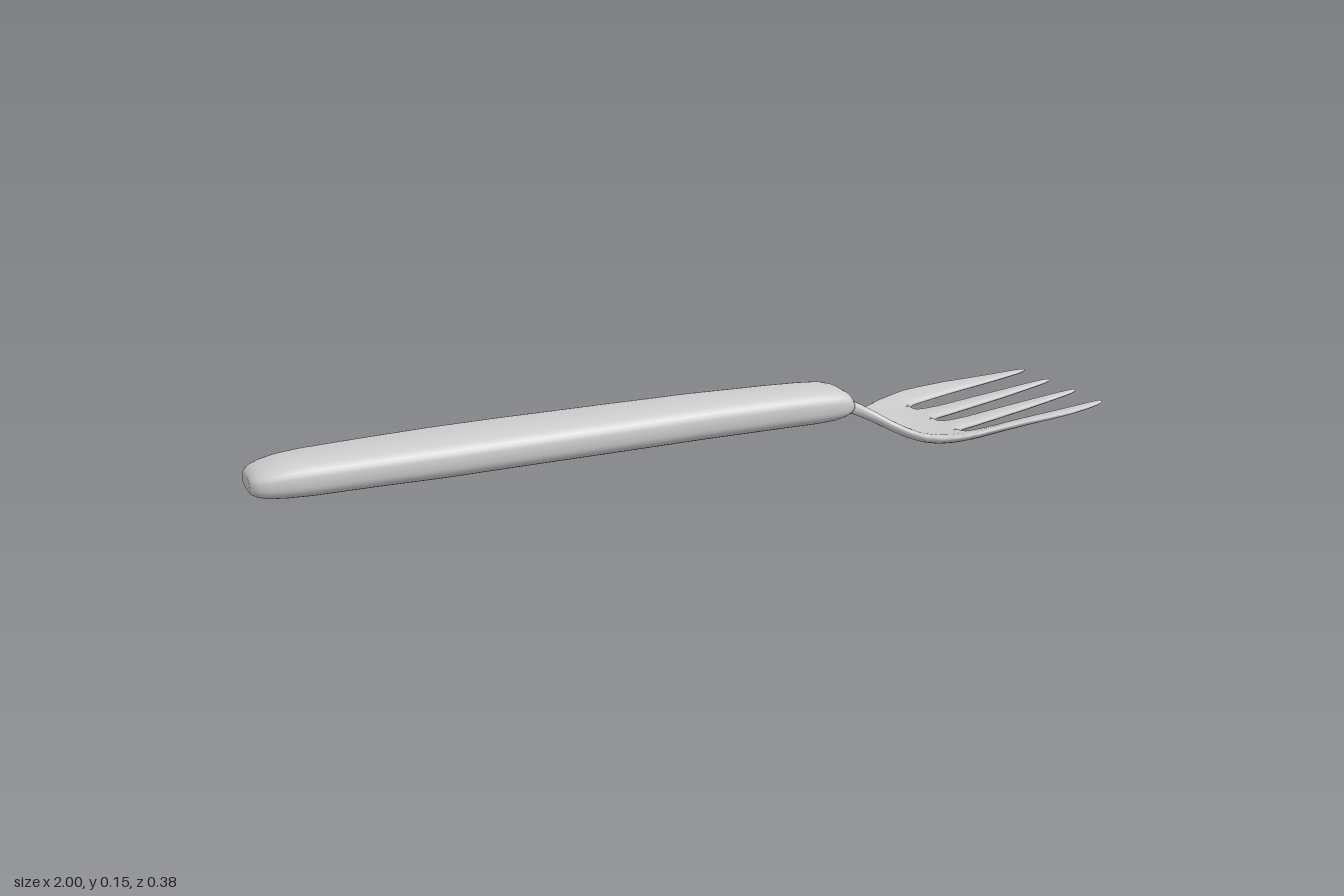
import * as THREE from 'three';
import { mergeVertices } from 'three/addons/utils/BufferGeometryUtils.js';

const { smoothstep } = THREE.MathUtils;
const material = new THREE.MeshStandardMaterial({ color: 0xcccccc });

// Skins a list of closed loops ordered along +x; skip(i, j) leaves a quad open
function loft(loops, pos, idx, skip = () => false) {
  const base = pos.length / 3, n = loops[0].length, rows = loops.length;
  loops.forEach((l) => l.forEach((p) => pos.push(...p)));
  for (let i = 0; i < rows - 1; i++) {
    for (let j = 0; j < n; j++) {
      if (skip(i, j)) continue;
      const a = base + i * n + j, b = base + i * n + (j + 1) % n;
      idx.push(a, a + n, b + n, a, b + n, b);
    }
  }
  // end caps
  [0, rows - 1].forEach((r) => {
    const c = pos.length / 3, o = base + r * n;
    const mid = [0, 1, 2].map((k) => loops[r].reduce((s, p) => s + p[k], 0) / n);
    pos.push(...mid);
    for (let j = 0; j < n; j++) {
      const a = o + j, b = o + (j + 1) % n;
      if (r === 0) idx.push(c, a, b);
      else idx.push(c, b, a);
    }
  });
}

function makeMesh(name, pos, idx) {
  let g = new THREE.BufferGeometry();
  g.setAttribute('position', new THREE.Float32BufferAttribute(pos, 3));
  g.setIndex(idx);
  g = mergeVertices(g, 1e-5);
  g.computeVertexNormals();
  const mesh = new THREE.Mesh(g, material);
  mesh.name = name;
  return mesh;
}

// Rounded bar with flattened top and bottom
function makeHandle() {
  // x, centre y, half height, half width
  const rows = [
    [-1, 0.102, 0.014, 0.036], [-0.996, 0.102, 0.021, 0.047], [-0.985, 0.103, 0.028, 0.057],
    [-0.965, 0.104, 0.034, 0.065], [-0.93, 0.106, 0.039, 0.071], [-0.88, 0.107, 0.042, 0.075],
    [-0.75, 0.109, 0.043, 0.082], [-0.6, 0.11, 0.045, 0.087], [-0.45, 0.111, 0.045, 0.087],
    [-0.2, 0.111, 0.045, 0.084], [0, 0.111, 0.045, 0.08], [0.2, 0.108, 0.044, 0.075],
    [0.28, 0.106, 0.043, 0.073], [0.33, 0.105, 0.04, 0.071], [0.355, 0.104, 0.034, 0.068],
    [0.37, 0.103, 0.026, 0.062], [0.378, 0.1, 0.016, 0.054],
  ];
  const sp = (v) => Math.sign(v) * Math.abs(v) ** (2 / 2.7);
  const loops = rows.map(([x, y, h, w]) => Array.from({ length: 40 }, (_, j) => {
    const t = j / 40 * Math.PI * 2;
    return [x, y + h * sp(Math.sin(t)), w * sp(Math.cos(t))];
  }));
  const pos = [], idx = [];
  loft(loops, pos, idx);
  return makeMesh('handle', pos, idx);
}

// Dished plate that splits into four tapering tines
function makeHead() {
  // solid part: x, centre y, half thickness, half width
  const plate = [
    [0.35, 0.1, 0.015, 0.053], [0.375, 0.096, 0.016, 0.054], [0.4, 0.084, 0.015, 0.057],
    [0.43, 0.068, 0.014, 0.066], [0.46, 0.05, 0.013, 0.084], [0.49, 0.034, 0.012, 0.11],
    [0.52, 0.022, 0.011, 0.138], [0.55, 0.0155, 0.011, 0.159], [0.58, 0.0135, 0.0105, 0.173],
    [0.605, 0.0135, 0.01, 0.18], [0.625, 0.015, 0.01, 0.184],
  ].map(([x, y, t, w]) => [x, y, t, 0, w * 0.58, w * 0.58, w]);
  // split part: x, centre y, half thickness, inner tine edges, outer tine edges
  const tines = [
    [0.629, 0.015, 0.01, 0.009, 0.098, 0.116, 0.185],
    [0.638, 0.016, 0.0098, 0.016, 0.091, 0.123, 0.186],
    [0.658, 0.018, 0.0095, 0.022, 0.085, 0.129, 0.188],
    [0.7, 0.022, 0.009, 0.026, 0.081, 0.133, 0.188],
    [0.77, 0.031, 0.0085, 0.029, 0.077, 0.137, 0.187],
    [0.84, 0.04, 0.0075, 0.032, 0.073, 0.14, 0.184],
    [0.9, 0.048, 0.0065, 0.036, 0.069, 0.143, 0.18],
    [0.95, 0.055, 0.0055, 0.04, 0.065, 0.146, 0.174],
    [0.98, 0.059, 0.0045, 0.043, 0.062, 0.148, 0.169],
    [0.994, 0.061, 0.0035, 0.045, 0.059, 0.15, 0.164],
    [1, 0.062, 0.002, 0.048, 0.056, 0.153, 0.159],
  ];
  const rows = [...plate, ...tines];
  const N = 9, pos = [], idx = [];

  [[3, 4, 1], [5, 6, 1], [3, 4, -1], [5, 6, -1]].forEach(([k0, k1, side]) => {
    const inner = k0 === 3;
    const loops = rows.map((r) => {
      const [x, y, t] = r;
      // edges round off once they are free
      const gapIn = inner ? r[3] : (r[5] - r[4]) / 2;
      const gapOut = inner ? (r[5] - r[4]) / 2 : 1;
      const dish = 0.021 * smoothstep(x, 0.42, 0.57) * (1 - smoothstep(x, 0.68, 1));
      const line = Array.from({ length: N }, (_, j) => {
        const u = Math.sin((j / (N - 1) - 0.5) * Math.PI);
        const z = side * (r[k0] + (r[k1] - r[k0]) * (u + 1) / 2);
        const f = Math.min(1, (u < 0 ? gapIn : gapOut) / 0.02);
        return [z, y + dish * (z / 0.187) ** 4, t * (1 - 0.8 * f * Math.abs(u) ** 4)];
      });
      line.sort((a, b) => b[0] - a[0]);
      if (side < 0 && r[k0] === r[k1]) line.reverse();
      return [
        ...line.map(([z, m, h]) => [x, m + h, z]),
        ...line.slice().reverse().map(([z, m, h]) => [x, m - h, z]),
      ];
    });
    // no wall where neighbouring strips are still joined
    const joined = plate.length - 1;
    loft(loops, pos, idx, (i, j) => {
      if (i >= joined || (j !== N - 1 && j !== 2 * N - 1)) return false;
      const positiveZ = j === 2 * N - 1;
      return inner || positiveZ !== (side > 0);
    });
  });
  return makeMesh('forkHead', pos, idx);
}

export function createModel() {
  const group = new THREE.Group();
  group.name = 'fork';
  group.add(makeHandle(), makeHead());
  return group;
}
